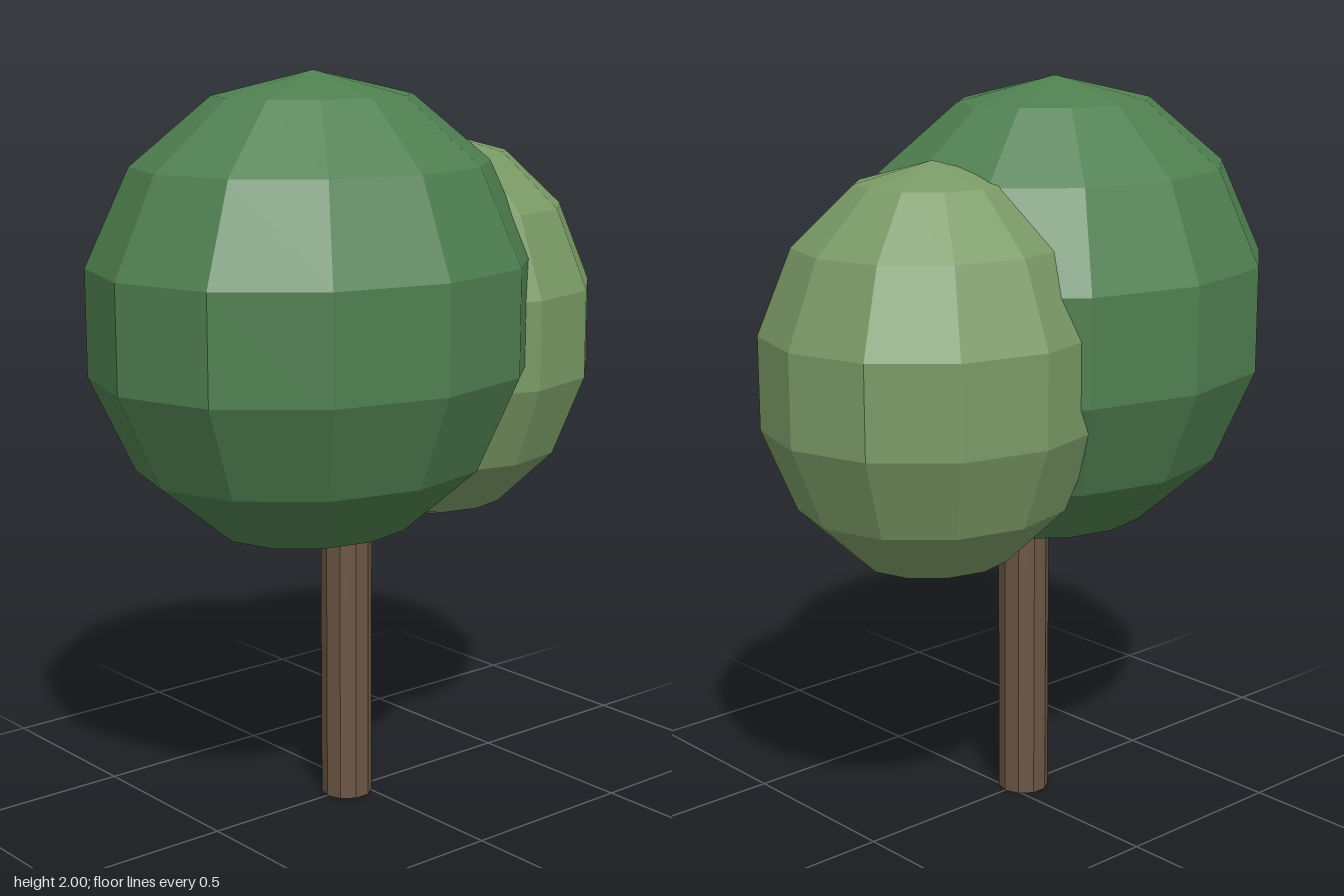
import * as THREE from 'three';

const flat = (color) => new THREE.MeshStandardMaterial({ color, flatShading: true });

// Faceted ellipsoid of leaves
function crown(name, color, position, radii) {
  const mesh = new THREE.Mesh(new THREE.SphereGeometry(1, 12, 7), flat(color));
  mesh.name = name;
  mesh.position.set(...position);
  mesh.scale.set(...radii);
  return mesh;
}

export function createModel() {
  const tree = new THREE.Group();
  tree.name = 'tree';

  // Trunk, running up into the large crown
  const trunk = new THREE.Mesh(
    new THREE.CylinderGeometry(0.07, 0.07, 1, 10, 1, false, Math.PI / 2),
    flat(0x6b5644)
  );
  trunk.name = 'trunk';
  trunk.position.set(-0.05, 0.5, 0);
  tree.add(trunk);

  // Two overlapping crowns
  tree.add(crown('largeCrown', 0x4f7f50, [-0.16, 1.365, 0], [0.636, 0.635, 0.545]));
  tree.add(crown('smallCrown', 0x7a9a66, [0.315, 1.275, -0.055], [0.472, 0.545, 0.436]));

  return tree;
}
